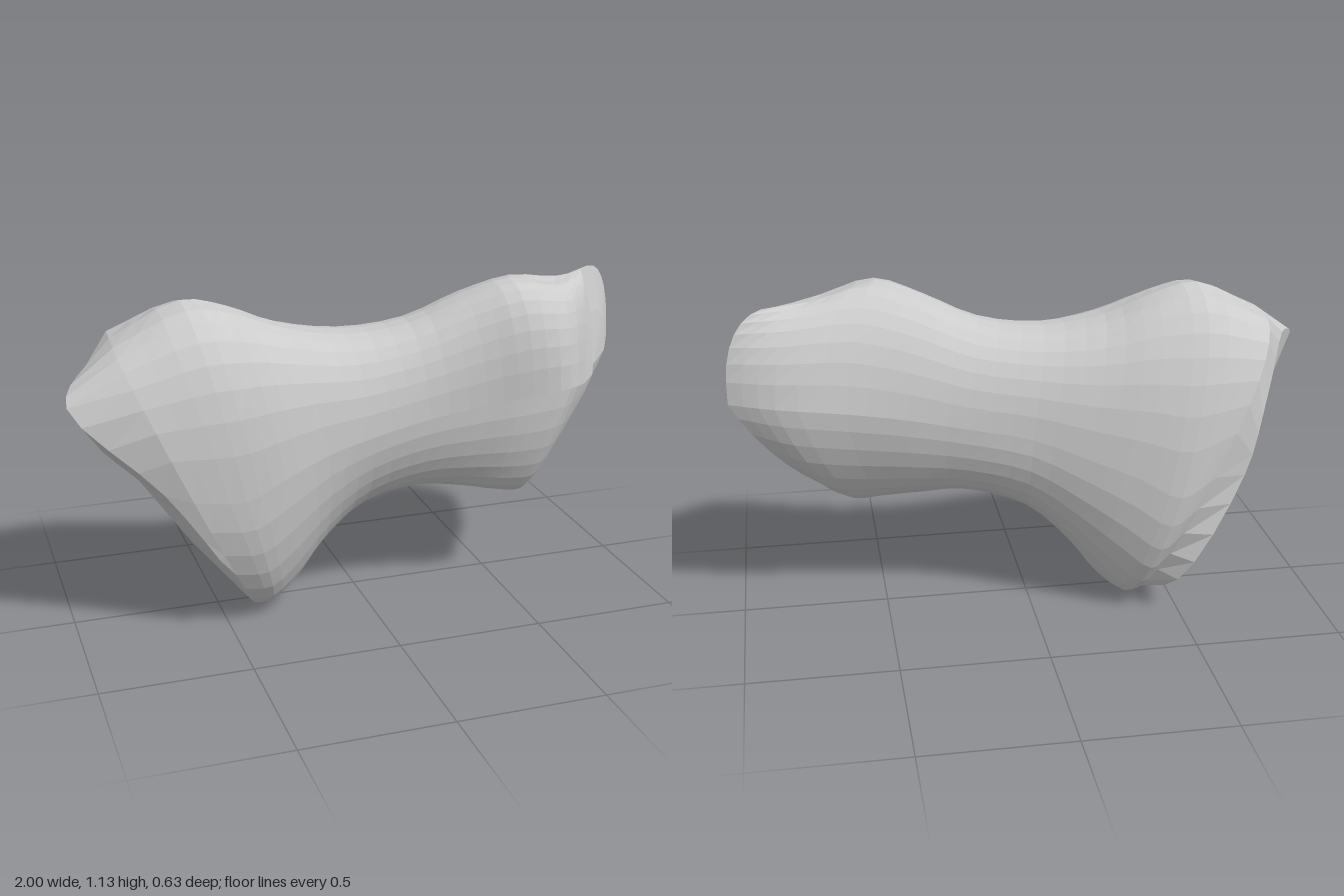
import * as THREE from 'three';

// Rim of the wide end face: from the top to the front, the bottom and the back
const RIM = [
  [-0.92, 0.91, 0.04], [-1, 0.84, 0.2], [-0.72, 0.54, 0.27], [-0.5, 0.21, 0.24],
  [-0.41, 0.03, 0.01], [-0.49, 0.13, -0.27], [-0.71, 0.51, -0.27], [-0.79, 0.77, -0.22],
];
// Each section of the shaft has four points: top, front, bottom, back
const SECTIONS = [
  [[-0.83, 1, 0.02], [-0.63, 0.51, 0.295], [-0.37, 0, 0], [-0.6, 0.52, -0.3]],
  [[-0.6, 1.11, 0.03], [-0.46, 0.5, 0.31], [-0.32, 0.015, 0], [-0.48, 0.46, -0.317]],
  [[-0.45, 1.08, 0.03], [-0.33, 0.56, 0.31], [-0.24, 0.08, 0], [-0.35, 0.52, -0.28]],
  [[-0.28, 1.01, 0.04], [-0.18, 0.62, 0.295], [-0.15, 0.2, 0.01], [-0.18, 0.58, -0.22]],
  [[-0.07, 0.975, 0.06], [-0.02, 0.66, 0.285], [0, 0.335, 0.03], [0, 0.64, -0.16]],
  [[0.15, 1, 0.09], [0.18, 0.7, 0.28], [0.2, 0.39, 0.07], [0.22, 0.68, -0.125]],
  [[0.33, 1.08, 0.13], [0.38, 0.73, 0.29], [0.36, 0.375, 0.1], [0.42, 0.72, -0.11]],
  [[0.49, 1.13, 0.17], [0.54, 0.75, 0.305], [0.48, 0.355, 0.13], [0.62, 0.75, -0.1]],
  [[0.68, 1.09, 0.12], [0.68, 0.76, 0.295], [0.57, 0.345, 0.13], [0.85, 0.78, -0.1]],
  [[0.83, 1.095, 0.02], [0.78, 0.74, 0.2], [0.65, 0.41, 0.1], [1, 0.8, -0.08]],
];
const AROUND = 32;
const ALONG = 27;

// Closed outline through the four points of a section: a lower power is squarer
function outlinePoint([top, front, bottom, back], angle, topPower, bottomPower) {
  const middle = new THREE.Vector3();
  for (const p of [top, front, bottom, back]) middle.addScaledVector(p, 0.25);
  const c = Math.cos(angle), s = Math.sin(angle);
  const vertical = (c >= 0 ? top : bottom).clone().sub(middle);
  const sideways = (s >= 0 ? front : back).clone().sub(middle);
  const power = c >= 0 ? topPower : bottomPower;
  return middle
    .addScaledVector(vertical, Math.pow(Math.abs(c), power))
    .addScaledVector(sideways, Math.pow(Math.abs(s), power));
}

export function createModel() {
  const toCurve = (points, closed) => new THREE.CatmullRomCurve3(
    points.map((p) => new THREE.Vector3(...p)), closed);
  const rim = toCurve(RIM, true);
  // Smooth rails join the matching points of all sections
  const rails = [0, 1, 2, 3].map((k) => toCurve(SECTIONS.map((section) => section[k]), false));

  const positions = [];
  const indices = [];
  for (let j = 0; j < AROUND; j++) positions.push(...rim.getPoint(j / AROUND));
  for (let i = 0; i <= ALONG; i++) {
    const t = i / ALONG;
    const section = rails.map((rail) => rail.getPoint(t));
    // Squarer top beside the wide end, pointed keel at the narrow end
    const topPower = THREE.MathUtils.lerp(0.72, 0.86, Math.min(1, t * 5));
    const bottomPower = THREE.MathUtils.lerp(0.93, 1.15, t);
    for (let j = 0; j < AROUND; j++) {
      const angle = (j / AROUND) * Math.PI * 2;
      positions.push(...outlinePoint(section, angle, topPower, bottomPower));
    }
  }
  const lastRing = ALONG + 1;
  for (let i = 0; i < lastRing; i++) {
    for (let j = 0; j < AROUND; j++) {
      const next = (j + 1) % AROUND;
      const a = i * AROUND + j, b = i * AROUND + next;
      const c = a + AROUND, d = b + AROUND;
      indices.push(a, b, c, b, d, c);
    }
  }

  // End faces, each domed by an inner ring and a centre
  const addEnd = (ring, centre, flip) => {
    const start = ring * AROUND;
    const inner = positions.length / 3;
    const middle = new THREE.Vector3(...centre);
    for (let j = 0; j < AROUND; j++) {
      const p = new THREE.Vector3().fromArray(positions, (start + j) * 3).lerp(middle, 0.45);
      positions.push(p.x + (flip ? -0.015 : 0.015), p.y, p.z);
    }
    const tip = positions.length / 3;
    positions.push(...centre);
    for (let j = 0; j < AROUND; j++) {
      const next = (j + 1) % AROUND;
      const faces = [
        [start + j, start + next, inner + j],
        [start + next, inner + next, inner + j],
        [inner + j, inner + next, tip],
      ];
      for (const [a, b, c] of faces) indices.push(...(flip ? [a, c, b] : [a, b, c]));
    }
  };
  addEnd(0, [-0.77, 0.52, 0.03], true);
  addEnd(lastRing, [0.87, 0.76, 0.08], false);

  const geometry = new THREE.BufferGeometry();
  geometry.setAttribute('position', new THREE.Float32BufferAttribute(positions, 3));
  geometry.setIndex(indices);
  geometry.computeVertexNormals();

  const bone = new THREE.Mesh(geometry,
    new THREE.MeshStandardMaterial({ color: 0xcccccc, flatShading: true }));
  bone.name = 'bone';
  const group = new THREE.Group();
  group.name = 'boneFragment';
  group.add(bone);
  return group;
}
